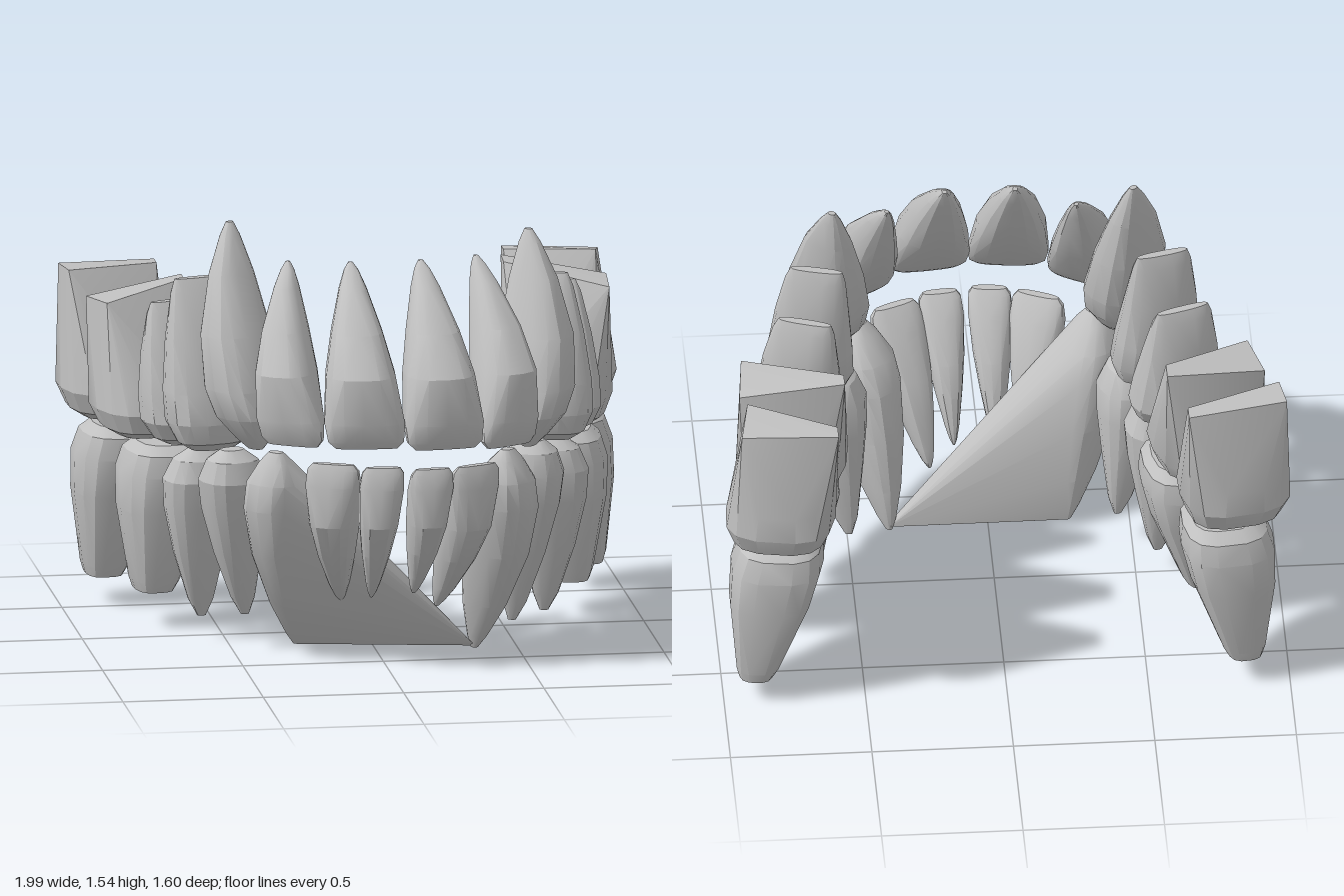
import * as THREE from 'three';
import { ConvexGeometry } from 'three/addons/geometries/ConvexGeometry.js';
import { toCreasedNormals } from 'three/addons/utils/BufferGeometryUtils.js';

// Profiles from crown tip to root tip: [position, width factor, depth factor]
const PROFILES = {
  incisor: [[0, .76, .15], [.04, .94, .3], [.15, 1, .6], [.42, .86, 1], [.65, .63, .82], [.87, .34, .45], [.96, .18, .22], [1, .06, .08]],
  canine: [[0, .25, .15], [.05, .55, .4], [.15, .93, .8], [.28, 1, 1], [.52, .85, .95], [.78, .52, .62], [.94, .24, .28], [1, .09, .1]],
  upperPremolar: [[0, .35, .5], [.05, .75, .8], [.17, 1, 1], [.35, .95, .98], [.65, .7, .85], [.92, .35, .7], [1, .14, .6]],
  lowerPremolar: [[0, .3, .35], [.06, .72, .75], [.18, 1, 1], [.35, .94, .95], [.62, .66, .7], [.9, .3, .35], [1, .1, .12]],
  upperMolar: [[0, .5, .6], [.06, .85, .85], [.2, 1, 1], [.38, .94, .94]],
  lowerMolar: [[0, .68, .7], [.06, .92, .9], [.2, 1, 1], [.45, .9, .9], [.93, .58, .48], [1, .5, .38]],
};

// name, profile, half width, half depth, outward angle, outward bow,
// left crown, left root, right crown, right root
const UPPER = [
  ['CentralIncisor', 'incisor', .145, .13, .1, .055, [.185, .82, .745], [.15, 1.42, .38], [-.095, .83, .745], [-.1, 1.42, .38]],
  ['LateralIncisor', 'incisor', .122, .12, .5, .05, [.425, .8, .64], [.36, 1.41, .29], [-.34, .825, .64], [-.31, 1.41, .29]],
  ['Canine', 'canine', .12, .14, .95, .03, [.53, .75, .43], [.56, 1.48, .2], [-.445, .77, .43], [-.505, 1.54, .2]],
  ['FirstPremolar', 'upperPremolar', .112, .155, 1.32, .01, [.635, .72, .2], [.62, 1.3, .11], [-.565, .72, .19], [-.6, 1.32, .1]],
  ['SecondPremolar', 'upperPremolar', .112, .16, 1.25, .01, [.69, .7, -.01], [.675, 1.23, -.1], [-.62, .7, -.01], [-.66, 1.2, -.07]],
  ['FirstMolar', 'upperMolar', .19, .195, 1.32, 0, [.735, .67, -.28], [.74, 1.2, -.36], [-.72, .68, -.26], [-.75, 1.17, -.34]],
  ['SecondMolar', 'upperMolar', .18, .195, 1.4, 0, [.8, .67, -.61], [.78, 1.21, -.64], [-.8, .68, -.57], [-.83, 1.21, -.6]],
];
const LOWER = [
  ['CentralIncisor', 'incisor', .08, .1, .1, .03, [.145, .74, .71], [.11, .24, .48], [-.03, .75, .71], [-.04, .23, .48]],
  ['LateralIncisor', 'incisor', .1, .1, .4, .03, [.31, .735, .65], [.2, .18, .43], [-.2, .755, .65], [-.14, .21, .43]],
  ['Canine', 'canine', .11, .13, .8, .02, [.44, .76, .52], [.35, 0, .32], [-.385, .775, .52], [-.28, .03, .3]],
  ['FirstPremolar', 'lowerPremolar', .11, .12, 1.2, .01, [.56, .74, .3], [.5, .07, .21], [-.51, .74, .3], [-.45, .12, .2]],
  ['SecondPremolar', 'lowerPremolar', .105, .13, 1.35, .01, [.66, .7, .09], [.64, .06, .03], [-.59, .7, .09], [-.58, .08, .03]],
  ['FirstMolar', 'lowerMolar', .175, .17, 1.4, 0, [.72, .67, -.2], [.77, .12, -.2], [-.66, .67, -.2], [-.72, .13, -.2]],
  ['SecondMolar', 'lowerMolar', .175, .165, 1.45, 0, [.785, .66, -.55], [.88, .09, -.6], [-.77, .66, -.55], [-.84, .1, -.6]],
];

// Extra root corners: wedge-shaped upper molar roots (two inner, two outer),
// and the lower right canine reaching across to the opposite root
const ROOT_CORNERS = {
  upperLeftFirstMolar: [[.56, 1.23, -.48], [.56, 1.22, -.41], [.93, 1.16, -.44], [.91, 1.16, -.22]],
  upperRightFirstMolar: [[-.58, 1.2, -.47], [-.58, 1.2, -.4], [-.93, 1.15, -.39], [-.88, 1.16, -.22]],
  upperLeftSecondMolar: [[.6, 1.2, -.75], [.6, 1.2, -.69], [.94, 1.19, -.72], [.91, 1.22, -.56]],
  upperRightSecondMolar: [[-.64, 1.2, -.72], [-.64, 1.2, -.66], [-.99, 1.21, -.66], [-.97, 1.21, -.54]],
  lowerRightCanine: [[.35, .005, .32], [.34, .02, .34]],
};

// Rounded-square rings stacked along the line from crown to root
function toothPoints(profile, width, depth, angle, bow, crown, root) {
  const a = new THREE.Vector3(...crown), b = new THREE.Vector3(...root);
  const out = new THREE.Vector3(Math.sin(angle), 0, Math.cos(angle));
  const along = new THREE.Vector3(Math.cos(angle), 0, -Math.sin(angle));
  const power = profile.endsWith('Molar') ? .68 : .8;
  const soft = (v) => Math.sign(v) * Math.abs(v) ** power;
  const points = [];
  for (const [t, kw, kd] of PROFILES[profile]) {
    const centre = a.clone().lerp(b, t).addScaledVector(out, bow * Math.sin(Math.PI * t));
    for (let i = 0; i < 14; i++) {
      const u = (i + .5) / 14 * Math.PI * 2;
      points.push(centre.clone()
        .addScaledVector(along, width * kw * soft(Math.cos(u)))
        .addScaledVector(out, depth * kd * soft(Math.sin(u))));
    }
  }
  return points;
}

export function createModel() {
  const enamel = new THREE.MeshStandardMaterial({ color: 0xc0c0c0 });
  enamel.name = 'enamelGrey';
  const model = new THREE.Group();
  model.name = 'teeth';

  function addArch(archName, rows) {
    const arch = new THREE.Group();
    arch.name = archName + 'Arch';
    for (const [name, profile, w, d, angle, bow, lc, lr, rc, rr] of rows) {
      for (const [side, sign, crown, root] of [['Left', 1, lc, lr], ['Right', -1, rc, rr]]) {
        const toothName = archName + side + name;
        const points = toothPoints(profile, w, d, sign * angle, bow, crown, root);
        for (const corner of ROOT_CORNERS[toothName] ?? []) points.push(new THREE.Vector3(...corner));
        const mesh = new THREE.Mesh(toCreasedNormals(new ConvexGeometry(points), .45), enamel);
        mesh.name = toothName;
        arch.add(mesh);
      }
    }
    model.add(arch);
  }

  addArch('upper', UPPER);
  addArch('lower', LOWER);
  return model;
}
